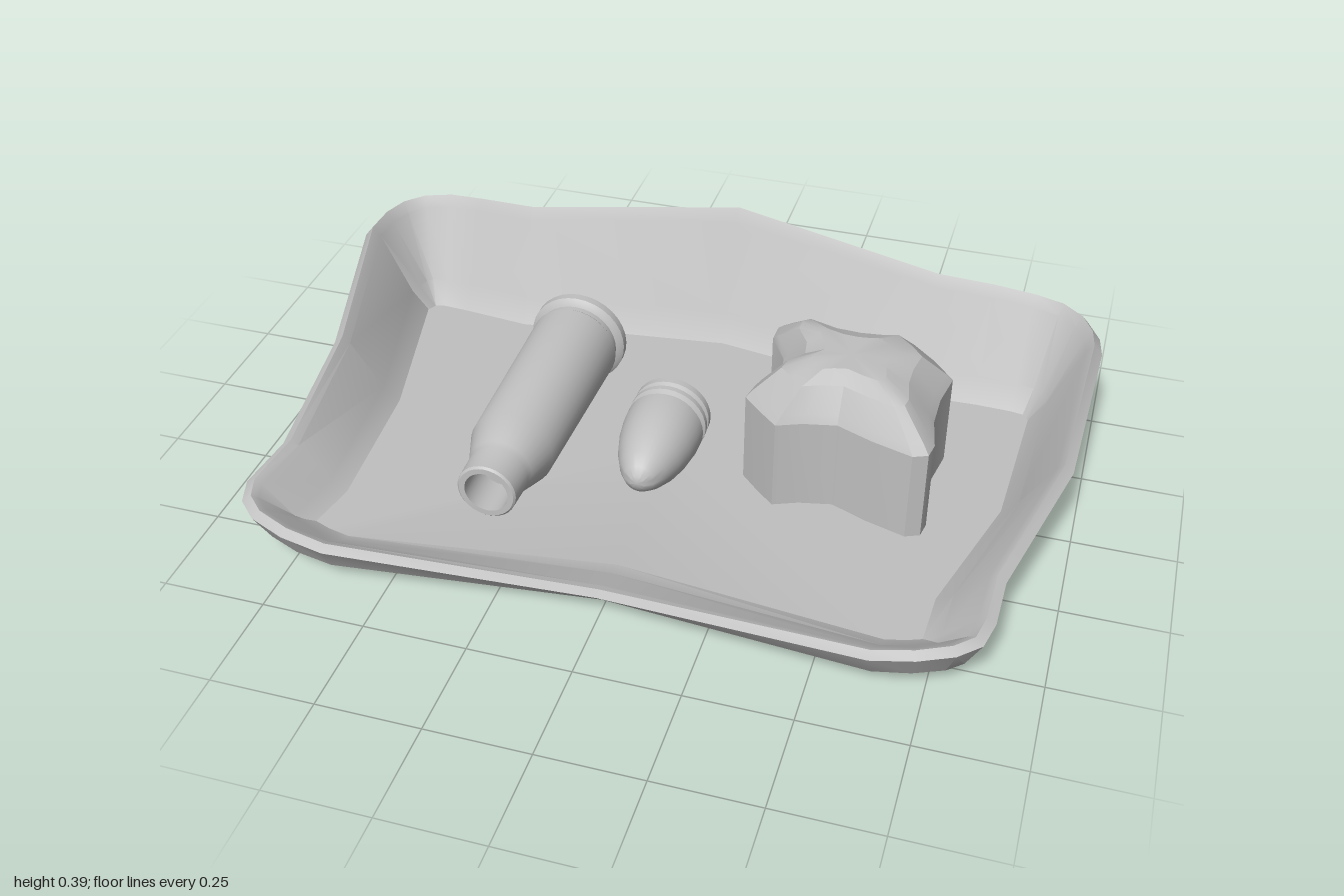
import * as THREE from 'three';
import { toCreasedNormals } from 'three/addons/utils/BufferGeometryUtils.js';

const grey = new THREE.MeshStandardMaterial({ color: 0xc0c0c0 });
grey.name = 'plain grey';

// Skin a stack of closed rings (arrays of [x, y, z]), capping both ends.
function skinRings(rings, crease) {
  const n = rings[0].length, pos = [];
  const tri = (a, b, c) => pos.push(...a, ...b, ...c);
  const centre = ring => [0, 1, 2].map(k => ring.reduce((s, p) => s + p[k], 0) / n);
  const first = rings[0], last = rings[rings.length - 1];
  const low = centre(first), high = centre(last);
  for (let i = 0; i < n; i++) {
    const j = (i + 1) % n;
    tri(low, first[i], first[j]);
    for (let r = 0; r + 1 < rings.length; r++) {
      const a = rings[r], b = rings[r + 1];
      tri(a[i], b[i], b[j]);
      tri(a[i], b[j], a[j]);
    }
    tri(high, last[j], last[i]);
  }
  const g = new THREE.BufferGeometry();
  g.setAttribute('position', new THREE.Float32BufferAttribute(pos, 3));
  return toCreasedNormals(g, crease);
}

function addMesh(parent, name, geometry) {
  const mesh = new THREE.Mesh(geometry, grey);
  mesh.name = name;
  parent.add(mesh);
  return mesh;
}

// Rim outline [x, z, height], starting at the middle of the back
const RIM = [
  [0, -0.675, 0.39], [0.56, -0.585, 0.335], [0.7, -0.592, 0.325], [0.81, -0.588, 0.317],
  [0.89, -0.57, 0.313], [0.95, -0.525, 0.31], [0.985, -0.465, 0.305], [0.997, -0.41, 0.295],
  [0.98, 0, 0.225], [0.88, 0.36, 0.165], [0.877, 0.48, 0.148], [0.86, 0.55, 0.143],
  [0.81, 0.595, 0.14], [0.73, 0.628, 0.135], [0.63, 0.645, 0.125],
  [0, 0.58, 0.075],
  [-0.63, 0.665, 0.125], [-0.74, 0.648, 0.133], [-0.83, 0.612, 0.138], [-0.88, 0.565, 0.142],
  [-0.9, 0.5, 0.147], [-0.873, 0.36, 0.165], [-0.9, 0, 0.225],
  [-0.997, -0.42, 0.295], [-0.985, -0.5, 0.305], [-0.955, -0.565, 0.31], [-0.9, -0.61, 0.315],
  [-0.82, -0.63, 0.32], [-0.72, -0.625, 0.325], [-0.57, -0.607, 0.335],
];
const FLOOR = 0.035;

// Outline moved inwards, with the height given by a rule
function insetRing(inset, height) {
  const n = RIM.length;
  return RIM.map(([x, z, h], i) => {
    const p = RIM[(i + n - 1) % n], q = RIM[(i + 1) % n];
    const tx = q[0] - p[0], tz = q[1] - p[1], l = Math.hypot(tx, tz);
    return [x - tz / l * inset, height(h), z + tx / l * inset];
  });
}

function tray() {
  const inside = f => h => FLOOR + f * (h - FLOOR);
  return skinRings([
    insetRing(0.155, () => 0),
    insetRing(0.09, h => 0.1 * h),
    insetRing(0.042, h => 0.34 * h),
    insetRing(0, h => 0.91 * h),
    insetRing(0.022, h => h),
    insetRing(0.04, inside(0.9)),
    insetRing(0.115, inside(0.22)),
    insetRing(0.155, () => FLOOR),
  ], 0.45);
}

// Turned part lying along z; profile is [radius, z]
function turned(profile) {
  const g = new THREE.LatheGeometry(profile.map(p => new THREE.Vector2(...p)), 32);
  g.rotateX(Math.PI / 2);
  return toCreasedNormals(g, 0.5);
}

// Four-lobed block outline [x, z] about its own centre
const LOBES = [
  [-0.01, -0.195], [0.07, -0.205], [0.125, -0.22], [0.185, -0.165], [0.23, -0.11],
  [0.215, -0.02], [0.215, 0.07], [0.232, 0.16], [0.225, 0.2], [0.19, 0.215],
  [0.09, 0.185], [0, 0.148], [-0.08, 0.165], [-0.14, 0.19], [-0.19, 0.145],
  [-0.235, 0.1], [-0.225, 0.05], [-0.175, -0.01], [-0.185, -0.08], [-0.232, -0.16],
  [-0.23, -0.21], [-0.205, -0.232], [-0.1, -0.2],
];

function lobedBlock() {
  const ring = (s, y) => LOBES.map(([x, z]) => [x * s, y, z * s]);
  return skinRings([ring(1, FLOOR - 0.01), ring(1, 0.275), ring(0.93, 0.295),
    ring(0.67, 0.355), ring(0.4, 0.378)], 0.4);
}

export function createModel() {
  const group = new THREE.Group();
  group.name = 'trayWithObjects';
  addMesh(group, 'tray', tray());

  // Hollow-necked case with a flanged base
  addMesh(group, 'case', turned([
    [0, -0.29], [0.118, -0.29], [0.126, -0.283], [0.126, -0.262], [0.118, -0.255],
    [0.108, -0.25], [0.108, -0.235], [0.115, -0.225], [0.105, 0.23], [0.08, 0.305],
    [0.075, 0.32], [0.073, 0.395], [0.068, 0.4], [0.054, 0.4], [0.054, 0.3], [0, 0.3],
  ])).position.set(-0.33, 0.155, 0);

  // Pointed slug with grooved bands
  addMesh(group, 'slug', turned([
    [0, -0.065], [0.092, -0.065], [0.098, -0.06], [0.098, -0.042], [0.088, -0.036],
    [0.088, -0.03], [0.099, -0.024], [0.099, -0.01], [0.088, -0.004], [0.088, 0.003],
    [0.098, 0.01], [0.097, 0.05], [0.09, 0.1], [0.077, 0.15], [0.058, 0.195],
    [0.038, 0.226], [0.018, 0.241], [0, 0.245],
  ])).position.set(-0.01, 0.135, 0);

  addMesh(group, 'lobedBlock', lobedBlock()).position.set(0.43, 0, -0.08);
  return group;
}
